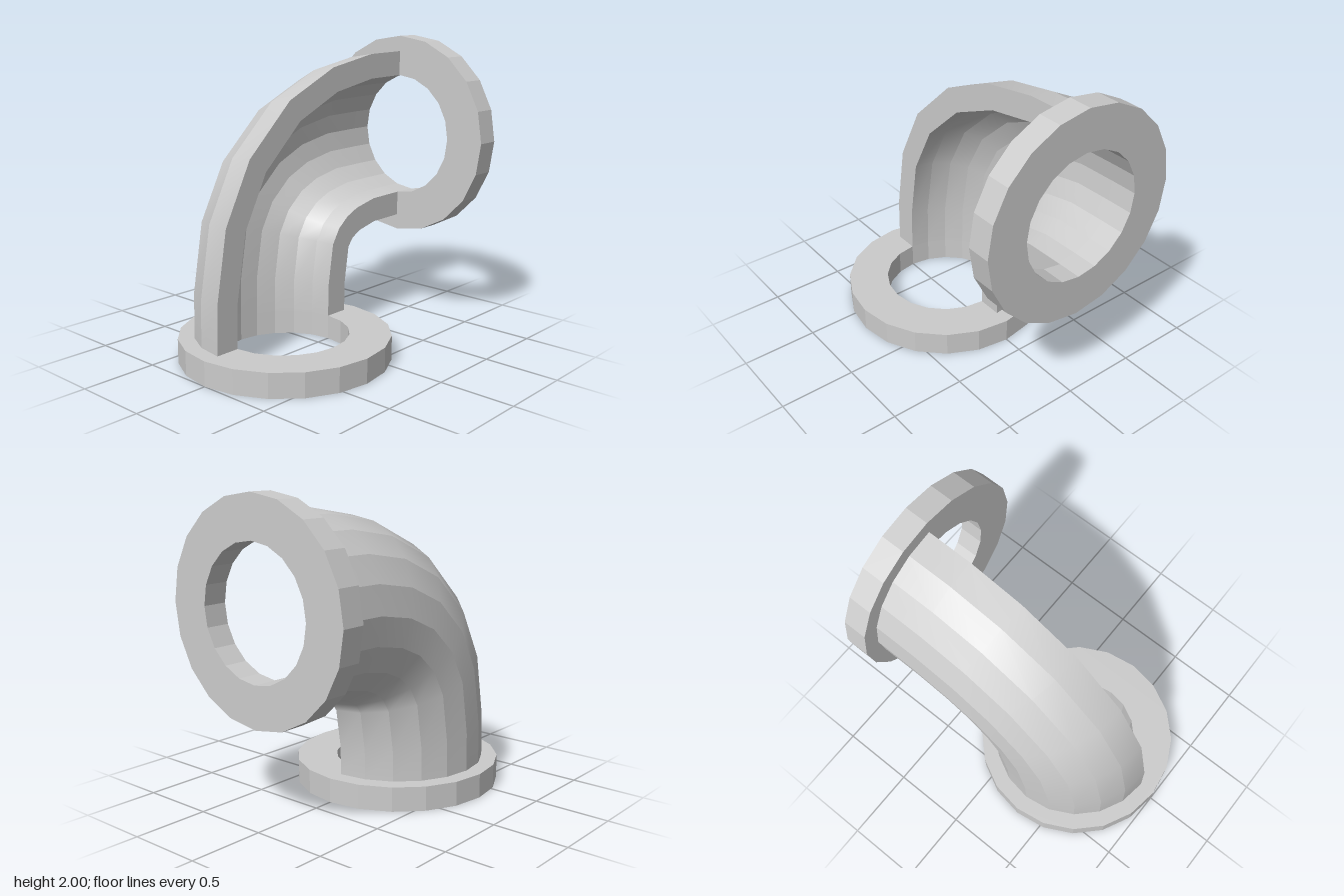
import * as THREE from 'three';

const SIDES = 20;
const BORE = 0.415, PIPE = 0.58, RIM = 0.685, THICK = 0.16, OFFSET = 0.315;
const material = new THREE.MeshStandardMaterial({ color: 0xcccccc });

// Regular polygon, counter-clockwise, with a corner at the top
function ringPoints(r) {
  return Array.from({ length: SIDES }, (_, i) => {
    const a = (i / SIDES) * Math.PI * 2;
    return new THREE.Vector2(-r * Math.sin(a), r * Math.cos(a));
  });
}

// Flat ring, extruded along +z
function makeFlange(name) {
  const shape = new THREE.Shape(ringPoints(RIM));
  shape.holes.push(new THREE.Path(ringPoints(BORE)));
  const geometry = new THREE.ExtrudeGeometry(shape, { depth: THICK, bevelEnabled: false });
  const mesh = new THREE.Mesh(geometry, material);
  mesh.name = name;
  return mesh;
}

// Half pipe (x <= 0) swept along the bend
function makeHalfElbow() {
  // Stations: centre z, centre y, tilt of the section in degrees
  const stations = [
    [OFFSET, THICK, 0], [0.31, 0.41, 6], [0.25, 0.765, 16.6], [0.13, 0.985, 35.2],
    [-0.065, 1.16, 56.4], [-0.29, 1.26, 75.8], [-0.555, 1.31, 87.5], [-0.84, 1.315, 90],
  ];

  // Section: outer arc one way, bore arc back; the two joins are the cut faces
  const half = SIDES / 2;
  const section = [];
  for (let i = 0; i <= half; i++) section.push([PIPE, (i / half) * Math.PI]);
  for (let i = half; i >= 0; i--) section.push([BORE, (i / half) * Math.PI]);

  const positions = [], index = [];
  const addPoint = ([r, a], [z, y, deg]) => {
    const t = THREE.MathUtils.degToRad(deg), d = r * Math.cos(a);
    positions.push(-r * Math.sin(a), y + d * Math.sin(t), z + d * Math.cos(t));
  };

  // One separate strip per side: smooth along the bend, faceted around it
  section.forEach((p, i) => {
    const q = section[(i + 1) % section.length];
    const base = positions.length / 3;
    stations.forEach((s, k) => {
      addPoint(p, s);
      addPoint(q, s);
      if (k === 0) return;
      const a = base + 2 * (k - 1), b = a + 1, c = a + 2, d = a + 3;
      index.push(a, c, b, b, c, d);
    });
  });

  const geometry = new THREE.BufferGeometry();
  geometry.setAttribute('position', new THREE.Float32BufferAttribute(positions, 3));
  geometry.setIndex(index);
  geometry.computeVertexNormals();
  const mesh = new THREE.Mesh(geometry, material);
  mesh.name = 'halfElbowPipe';
  return mesh;
}

export function createModel() {
  const group = new THREE.Group();
  group.name = 'cutawayPipeElbow';

  const baseFlange = makeFlange('baseFlange');
  baseFlange.rotation.x = -Math.PI / 2;
  baseFlange.position.set(0, 0, OFFSET);

  const backFlange = makeFlange('backFlange');
  backFlange.position.set(0, 1 + OFFSET, -1);

  group.add(baseFlange, backFlange, makeHalfElbow());
  return group;
}
